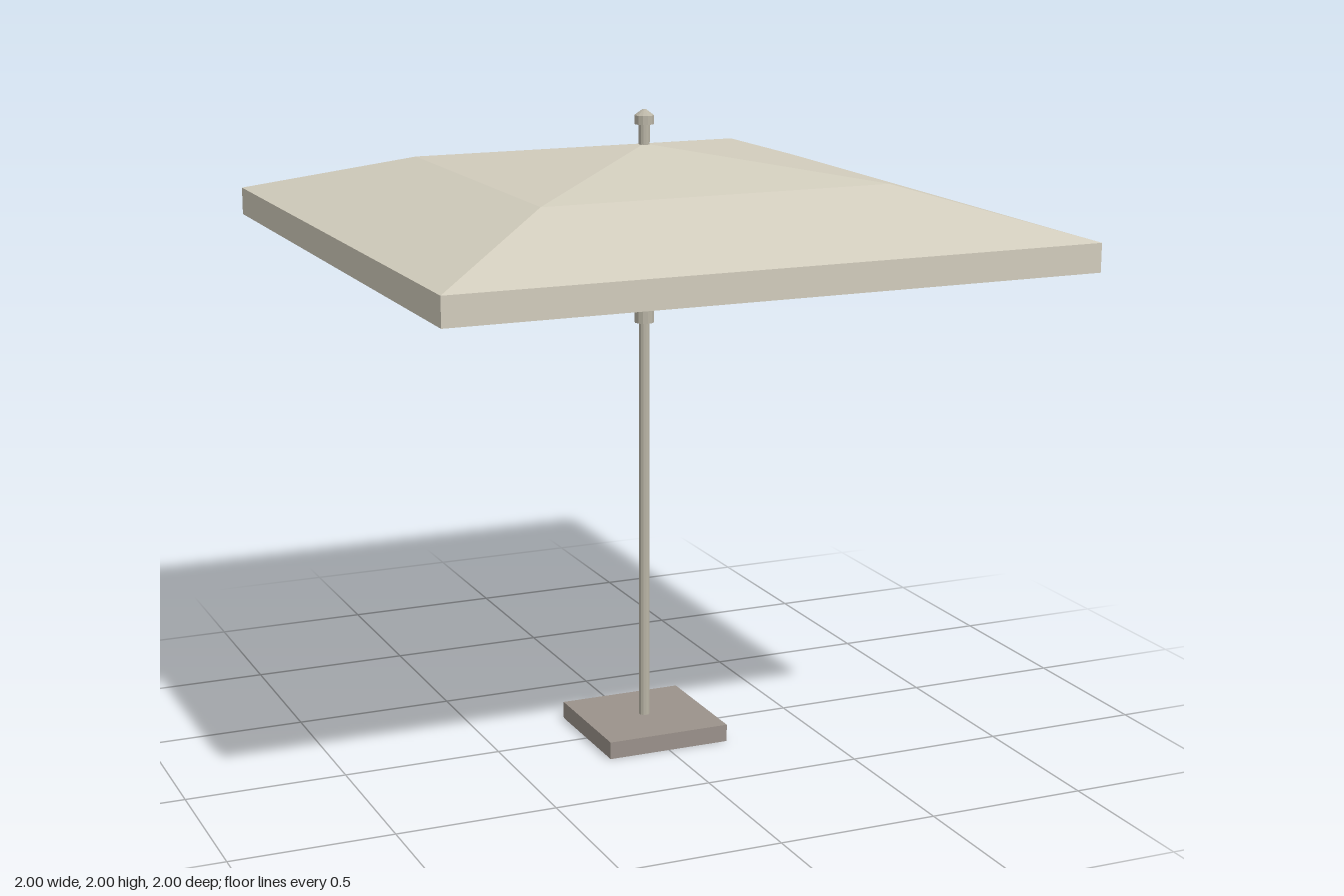
import * as THREE from 'three';

const material = (name, color) => {
  const m = new THREE.MeshStandardMaterial({ color, flatShading: true, side: THREE.DoubleSide });
  m.name = name;
  return m;
};

export function createModel() {
  const fabric = material('cream fabric', 0xd2cdbd);
  const metal = material('warm grey metal', 0xbab5a6);
  const stone = material('taupe stone', 0x9b928b);
  const model = new THREE.Group();
  model.name = 'patioUmbrella';

  function add(name, geometry, mat, parent = model) {
    const mesh = new THREE.Mesh(geometry, mat);
    mesh.name = name;
    parent.add(mesh);
    return mesh;
  }

  // Open cylinder between two heights
  function ring(name, rTop, rBottom, y0, y1, sides, mat, open = false, turn = 0) {
    const g = new THREE.CylinderGeometry(rTop, rBottom, y1 - y0, sides, 1, open, turn);
    g.translate(0, (y0 + y1) / 2, 0);
    return add(name, g, mat);
  }

  // Square frustum, sized by its half widths
  const square = (name, top, bottom, y0, y1, mat) =>
    ring(name, top * Math.SQRT2, bottom * Math.SQRT2, y0, y1, 4, mat, true, Math.PI / 4);

  // Round bar between two points
  function bar(name, a, b, radius, parent) {
    const dir = b.clone().sub(a);
    const mesh = add(name, new THREE.CylinderGeometry(radius, radius, dir.length(), 6), metal, parent);
    mesh.position.copy(a).add(b).multiplyScalar(0.5);
    mesh.quaternion.setFromUnitVectors(new THREE.Vector3(0, 1, 0), dir.normalize());
  }

  // Hollow base slab, open underneath
  square('baseSides', 0.2, 0.2, 0, 0.055, stone);
  const top = add('baseTop', new THREE.PlaneGeometry(0.4, 0.4), stone);
  top.rotation.x = -Math.PI / 2;
  top.position.y = 0.055;

  // Pole, sliding collar and finial
  ring('pole', 0.017, 0.017, 0.055, 1.96, 12, metal);
  ring('collar', 0.03, 0.03, 1.34, 1.415, 12, metal);
  ring('topHub', 0.03, 0.03, 1.845, 1.88, 12, metal);
  ring('finial', 0.03, 0.03, 1.955, 1.982, 12, metal);
  ring('finialCap', 0.006, 0.03, 1.982, 2, 12, metal);

  // Two-slope canopy with a straight valance
  square('canopyUpper', 0.001, 0.55, 1.815, 1.895, fabric);
  square('canopyLower', 0.55, 1, 1.68, 1.815, fabric);
  square('valance', 1, 1, 1.593, 1.68, fabric);

  // Eight ribs and struts: four to the sides, four to the corners
  const frame = new THREE.Group();
  frame.name = 'frame';
  model.add(frame);
  for (let i = 0; i < 8; i++) {
    const corner = i % 2 === 1;
    const angle = (i * Math.PI) / 4;
    const stretch = corner ? Math.SQRT2 : 1;
    const at = (d, y) => new THREE.Vector3(Math.cos(angle) * d, y, Math.sin(angle) * d);
    const r = corner ? 0.009 : 0.006;
    const bend = at(0.55 * stretch, 1.803);
    bar('upperRib', at(0.02, 1.88), bend, r, frame);
    bar('lowerRib', bend, at(0.985 * stretch, 1.673), r, frame);
    const tip = corner ? at(0.48 * stretch, 1.805) : at(0.55, 1.795);
    bar('strut', at(0.028, 1.395), tip, 0.006, frame);
  }
  return model;
}
